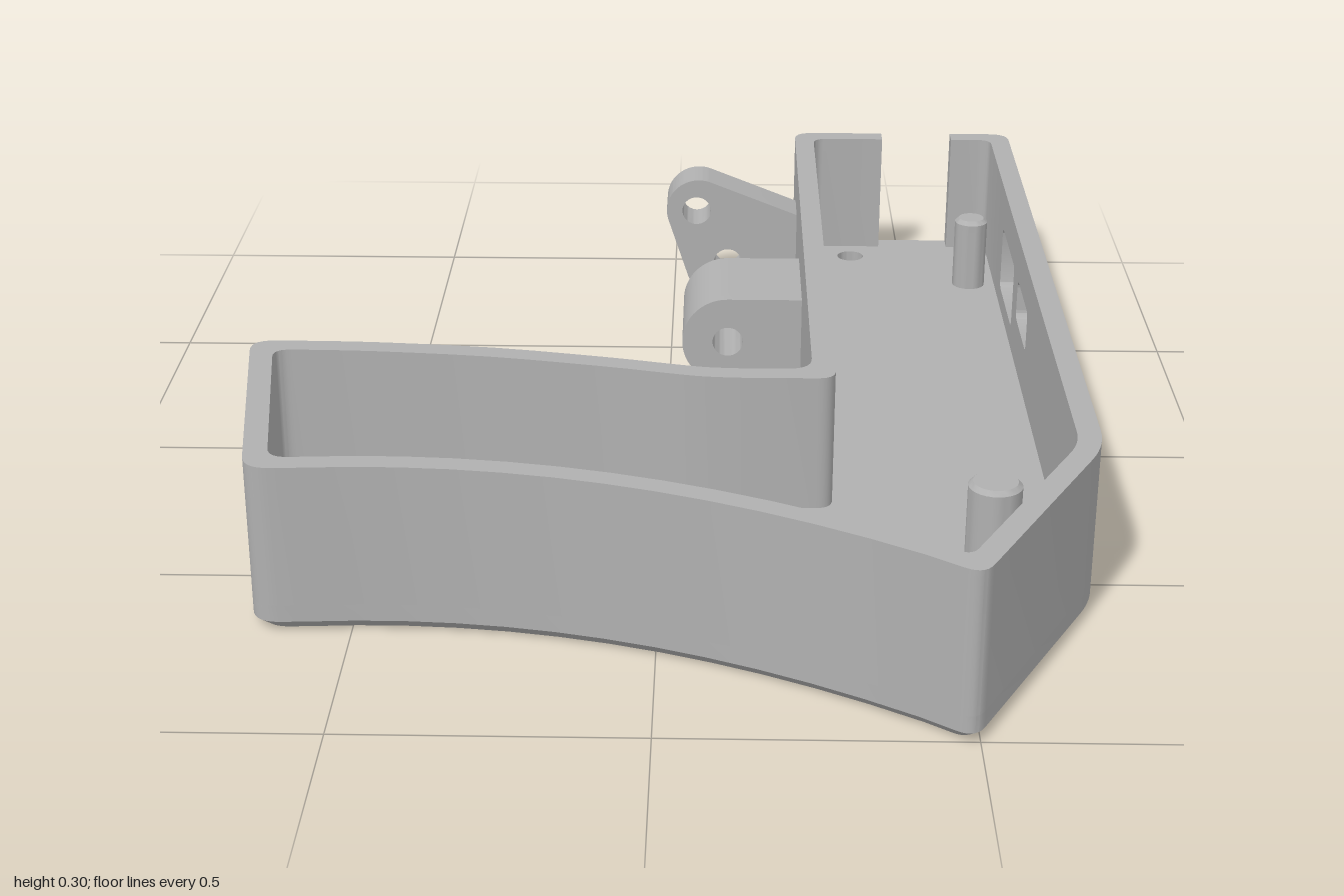
import * as THREE from 'three';
import { toCreasedNormals } from 'three/addons/utils/BufferGeometryUtils.js';

const V = (x, y) => new THREE.Vector2(x, y);
const FLOOR = 0.05, TOP = 0.3, CHAMFER = 0.02, WALL = 0.04;

// Plan outline as [x, z, corner trim], starting on the straight side wall
function planCorners() {
  const pts = [[0.725, -0.1, 0], [0.725, 0.58, 0.06], [0.49, 1.02, 0.035]];
  for (let i = 1; i < 14; i++) {
    const x = 0.49 - (1.145 * i) / 14;
    pts.push([x, 0.685 + 0.375 * (x + 0.45) ** 2, 0]);
  }
  pts.push([-0.66, 0.695, 0.045], [-0.735, 0.18, 0.045]);
  const wave = new THREE.SplineCurve([V(-0.62, 0.18), V(-0.5, 0.184), V(-0.3, 0.203), V(-0.1, 0.24),
    V(0.02, 0.268), V(0.08, 0.28), V(0.15, 0.284)]);
  wave.getPoints(18).forEach(p => pts.push([p.x, p.y, 0]));
  pts.push([0.26, 0.283, 0.045], [0.26, -1, 0.04], [0.45, -1, 0], [0.6, -1, 0],
    [0.725, -1, 0.04], [0.725, -0.7, 0]);
  return pts;
}

// Inward mitred offset of the outline, then rounded corners
function outline(offset) {
  const raw = planCorners(), n = raw.length;
  const at = i => raw[(i + n) % n];
  const normal = (a, b) => V(-(b[1] - a[1]), b[0] - a[0]).normalize();
  const moved = raw.map((p, i) => {
    const n1 = normal(at(i - 1), p), n2 = normal(p, at(i + 1));
    const m = n1.clone().add(n2);
    return V(p[0], p[1]).addScaledVector(m, offset / (1 + n1.dot(n2)));
  });
  const out = [], index = [];
  moved.forEach((p, i) => {
    index.push(out.length);
    const r = raw[i][2] * (1 - offset * 7);
    if (r <= 0) { out.push(p); return; }
    const toward = q => p.clone().addScaledVector(q.clone().sub(p).normalize(), r);
    const curve = new THREE.QuadraticBezierCurve(toward(moved[(i + n - 1) % n]), p, toward(moved[(i + 1) % n]));
    out.push(...curve.getPoints(7));
  });
  return { pts: out, index };
}

const circle = (x, y, r) => new THREE.Path().absarc(x, y, r, 0, Math.PI * 2, false);

function extrude(shape, depth) {
  return toCreasedNormals(new THREE.ExtrudeGeometry(shape, { depth, bevelEnabled: false, curveSegments: 20 }), 0.5);
}

// Extrudes a plan (x, z) shape upward from y0 to y1
function slab(pts, holes, y0, y1) {
  const shape = new THREE.Shape(pts.map(p => V(p.x, -p.y)));
  holes.forEach(([x, z, r]) => shape.holes.push(circle(x, -z, r)));
  return extrude(shape, y1 - y0).rotateX(-Math.PI / 2).translate(0, y0, 0);
}

function lathe(profile) {
  return toCreasedNormals(new THREE.LatheGeometry(profile.map(p => V(...p)), 28), 0.5);
}

export function createModel() {
  const model = new THREE.Group();
  const grey = new THREE.MeshStandardMaterial({ color: 0xb0b0b0, side: THREE.DoubleSide });
  grey.name = 'plain grey';
  const add = (name, geometry) => {
    const mesh = new THREE.Mesh(geometry, grey);
    mesh.name = name;
    model.add(mesh);
    return mesh;
  };

  const outer = outline(0), inner = outline(WALL), under = outline(CHAMFER);
  const screws = [[0.385, -0.9], [0.64, -0.845], [-0.65, 0.26], [0.125, 0.72]];

  // Floor with screw holes
  add('floor', slab(outer.pts, screws.map(([x, z]) => [x, z, 0.028]), CHAMFER, FLOOR));

  // Underside, facing down, with the wide ends of the countersinks
  const underShape = new THREE.Shape(under.pts);
  screws.forEach(([x, z]) => underShape.holes.push(circle(x, z, 0.045)));
  add('underside', new THREE.ShapeGeometry(underShape, 20).rotateX(Math.PI / 2));

  // Chamfer strip between underside and wall
  const strip = [], count = outer.pts.length;
  for (let i = 0; i < count; i++) {
    const j = (i + 1) % count;
    const a = [under.pts[i].x, 0, under.pts[i].y], b = [under.pts[j].x, 0, under.pts[j].y];
    const c = [outer.pts[j].x, CHAMFER, outer.pts[j].y], d = [outer.pts[i].x, CHAMFER, outer.pts[i].y];
    strip.push(...a, ...c, ...b, ...a, ...d, ...c);
  }
  const chamfer = new THREE.BufferGeometry();
  chamfer.setAttribute('position', new THREE.Float32BufferAttribute(strip, 3));
  add('bottomChamfer', toCreasedNormals(chamfer, 0.5));

  // Countersinks
  screws.forEach(([x, z]) => {
    add('countersink', lathe([[0.028, CHAMFER + 0.002], [0.045, 0]])).position.set(x, 0, z);
  });

  // Walls: the long run and the short corner, leaving the end slot open
  const corners = outer.index.length;
  const wall = (from, to) => {
    const a = outer.index[from], b = outer.index[to] + 1;
    const loop = [...outer.pts.slice(a, b), ...inner.pts.slice(a, b).reverse()];
    return slab(loop, [], FLOOR, TOP);
  };
  add('mainWall', wall(0, corners - 4));
  add('cornerWall', wall(corners - 3, corners - 1));

  // Straight wall section with two port windows
  const side = new THREE.Shape([V(0.1, FLOOR), V(0.7, FLOOR), V(0.7, TOP), V(0.1, TOP)]);
  [[0.17, 0.34, 0.14, 0.22], [0.41, 0.63, 0.09, 0.22]].forEach(([l, r, b, t]) => {
    const k = 0.016, p = new THREE.Path();
    p.absarc(r - k, b + k, k, -Math.PI / 2, 0, false);
    p.absarc(r - k, t - k, k, 0, Math.PI / 2, false);
    p.absarc(l + k, t - k, k, Math.PI / 2, Math.PI, false);
    p.absarc(l + k, b + k, k, Math.PI, Math.PI * 1.5, false);
    p.closePath();
    side.holes.push(p);
  });
  add('portWall', extrude(side, WALL).rotateY(Math.PI / 2).translate(0.725 - WALL, 0, 0));

  // Inside posts
  [[0.63, -0.745, 0.034], [0.56, 0.51, 0.046], [-0.56, 0.555, 0.046]].forEach(([x, z, r]) => {
    add('post', lathe([[r, FLOOR - 0.01], [r, 0.192], [r - 0.008, 0.2], [0, 0.2]])).position.set(x, 0, z);
  });

  // Hinge lugs on the inner side
  const deg = Math.PI / 180;
  const thin = new THREE.Shape();
  thin.moveTo(0.27, 0.005);
  thin.lineTo(0.115, 0.005);
  thin.absarc(0.115, 0.095, 0.09, 270 * deg, 200 * deg, true);
  thin.absarc(0.053, 0.212, 0.068, 200 * deg, 69 * deg, true);
  thin.lineTo(0.27, 0.2);
  thin.closePath();
  thin.holes.push(circle(0.115, 0.095, 0.03), circle(0.048, 0.212, 0.03));
  add('thinLug', extrude(thin, 0.09).translate(0, 0, -0.83));

  const wide = new THREE.Shape();
  wide.moveTo(0.27, 0.005);
  wide.lineTo(0.115, 0.005);
  wide.absarc(0.115, 0.095, 0.09, 270 * deg, 90 * deg, true);
  wide.lineTo(0.27, 0.185);
  wide.closePath();
  wide.holes.push(circle(0.115, 0.095, 0.03));
  add('wideLug', extrude(wide, 0.225).translate(0, 0, -0.535));

  return model;
}
